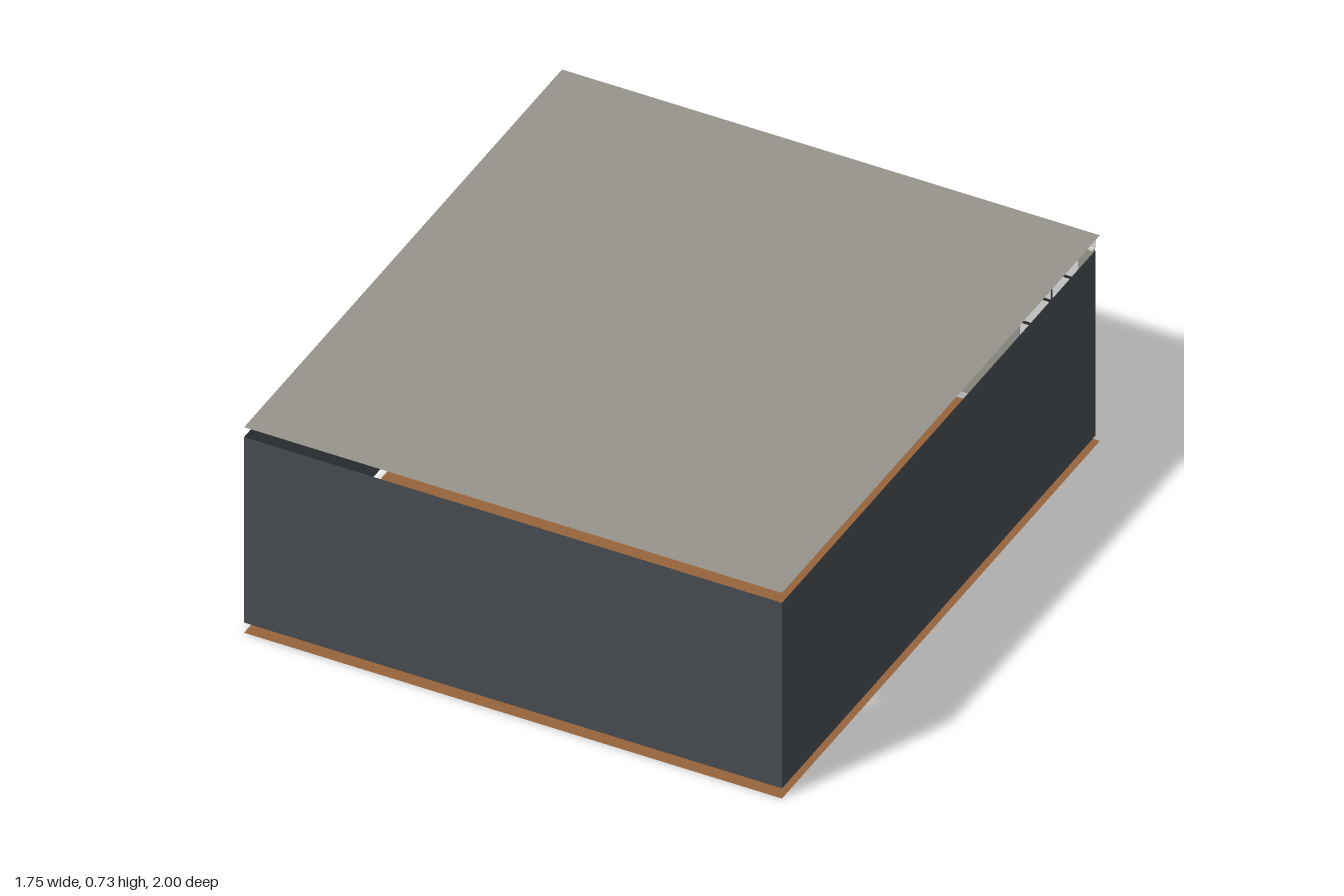
import * as THREE from 'three';

const W = 0.87, FRONT = 1.0, BACK = -0.95, LOW = 0.037, HIGH = 0.695, TOP = 0.73;

export function createModel() {
  const model = new THREE.Group();
  model.name = 'classroom';

  const mat = (name, color, side = THREE.FrontSide) => {
    const m = new THREE.MeshStandardMaterial({ color, side });
    m.name = name;
    return m;
  };
  const slate = mat('slate wall', 0x464b50, THREE.DoubleSide);
  const stone = mat('warm grey', 0x96948c, THREE.DoubleSide);
  const wood = mat('wood floor', 0x96633a, THREE.DoubleSide);
  const white = mat('window white', 0xd6d6d6);
  const dark = mat('dark metal', 0x2b2d30);
  const orange = mat('door orange', 0xc4551f);
  const rust = mat('door panel', 0xb84d1c);

  const add = (parent, name, geometry, material, x = 0, y = 0, z = 0) => {
    const mesh = new THREE.Mesh(geometry, material);
    mesh.name = name;
    mesh.position.set(x, y, z);
    parent.add(mesh);
    return mesh;
  };
  // box given by its lower and upper corners
  const box = (parent, name, material, [x0, y0, z0], [x1, y1, z1]) =>
    add(parent, name, new THREE.BoxGeometry(x1 - x0, y1 - y0, z1 - z0), material,
      (x0 + x1) / 2, (y0 + y1) / 2, (z0 + z1) / 2);
  const outline = (points) => new THREE.Shape(points.map(([x, y]) => new THREE.Vector2(x, y)));
  const rect = (x0, y0, x1, y1) => [[x0, y0], [x1, y0], [x1, y1], [x0, y1]];

  // floor and roof sheets
  const depth = FRONT + 0.965, midZ = (FRONT - 0.965) / 2;
  const sheet = new THREE.PlaneGeometry(2 * W, depth).rotateX(-Math.PI / 2);
  add(model, 'floor', sheet, wood, 0, 0.001, midZ);
  add(model, 'roof', sheet, stone, 0, TOP, midZ);

  // plain walls
  add(model, 'frontWall', new THREE.ShapeGeometry(outline(rect(-W, LOW, W, HIGH))), slate, 0, 0, FRONT);
  const sideWall = new THREE.ShapeGeometry(outline(rect(-0.937, LOW, FRONT, HIGH))).rotateY(-Math.PI / 2);
  add(model, 'leftWall', sideWall, slate, W);

  // wall with the doorway cut from its lower edge
  const doorway = outline([[-0.937, LOW], [-0.61, LOW], [-0.61, 0.505], [-0.305, 0.505],
    [-0.305, LOW], [FRONT, LOW], [FRONT, HIGH], [-0.937, HIGH]]);
  add(model, 'doorWall', new THREE.ShapeGeometry(doorway).rotateY(-Math.PI / 2), slate, -W);

  // door with four raised panels
  const door = new THREE.Group();
  door.name = 'door';
  model.add(door);
  box(door, 'doorLeaf', orange, [-0.872, 0.003, -0.59], [-0.86, 0.49, -0.32]);
  for (let i = 0; i < 4; i++) {
    const y = 0.03 + i * 0.117;
    box(door, 'doorPanel', rust, [-0.876, y, -0.575], [-0.871, y + 0.095, -0.335]);
  }

  // window wall with five openings
  const centres = [-0.7, -0.35, 0, 0.35, 0.7];
  const HALF = 0.115, Y0 = 0.1, Y1 = 0.637;
  const windowWall = outline(rect(-0.862, LOW, 0.862, HIGH));
  for (const x of centres) {
    windowWall.holes.push(outline(rect(x - HALF + 0.008, Y0 + 0.008, x + HALF - 0.008, Y1 - 0.008)));
  }
  add(model, 'windowWall', new THREE.ShapeGeometry(windowWall), stone, 0, 0, BACK);

  // strip above the window wall, facing into the room, and a slim ledge
  add(model, 'upperStrip', new THREE.PlaneGeometry(2 * W - 0.01, TOP - HIGH), white,
    0, (TOP + HIGH) / 2, BACK);
  box(model, 'topLedge', white, [-0.862, 0.687, BACK], [0.862, 0.694, BACK + 0.012]);

  // projecting windows: flange, deep frame, glazing bars and panes
  for (const x of centres) {
    const win = new THREE.Group();
    win.name = 'window';
    win.position.x = x;
    model.add(win);
    const ring = (half, y0, y1, border) => {
      const s = outline(rect(-half, y0, half, y1));
      s.holes.push(outline(rect(-half + border, y0 + border, half - border, y1 - border)));
      return s;
    };
    add(win, 'flange', new THREE.ExtrudeGeometry(ring(HALF + 0.01, Y0 - 0.01, Y1 + 0.01, 0.018),
      { depth: 0.005, bevelEnabled: false }), white, 0, 0, BACK - 0.006);
    add(win, 'frame', new THREE.ExtrudeGeometry(ring(HALF, Y0, Y1, 0.008),
      { depth: 0.048, bevelEnabled: false }), white, 0, 0, -0.999);
    box(win, 'glazingBars', dark, [-HALF + 0.007, Y0 + 0.007, -0.996], [HALF - 0.007, Y1 - 0.007, -0.994]);

    const rows = 5, cols = 2;
    const cw = (2 * HALF - 0.016) / cols, rh = (Y1 - Y0 - 0.016) / rows;
    for (let r = 0; r < rows; r++) {
      for (let c = 0; c < cols; c++) {
        const px = -HALF + 0.008 + (c + 0.5) * cw, py = Y0 + 0.008 + (r + 0.5) * rh;
        add(win, 'pane', new THREE.BoxGeometry(cw - 0.007, rh - 0.014, 0.01), white, px, py, -0.995);
      }
    }
  }

  // low radiators inside, below the outer windows
  for (const x of [-0.65, 0.71]) {
    const radiator = new THREE.Group();
    radiator.name = 'radiator';
    radiator.position.x = x;
    model.add(radiator);
    for (const y of [0.028, 0.08]) {
      box(radiator, 'radiatorPipe', dark, [-0.14, y, -0.93], [0.14, y + 0.012, -0.905]);
    }
    for (let i = 0; i < 9; i++) {
      const fx = -0.128 + i * 0.032;
      box(radiator, 'radiatorFin', dark, [fx - 0.011, 0.025, -0.945], [fx + 0.011, 0.095, -0.89]);
    }
  }

  return model;
}
